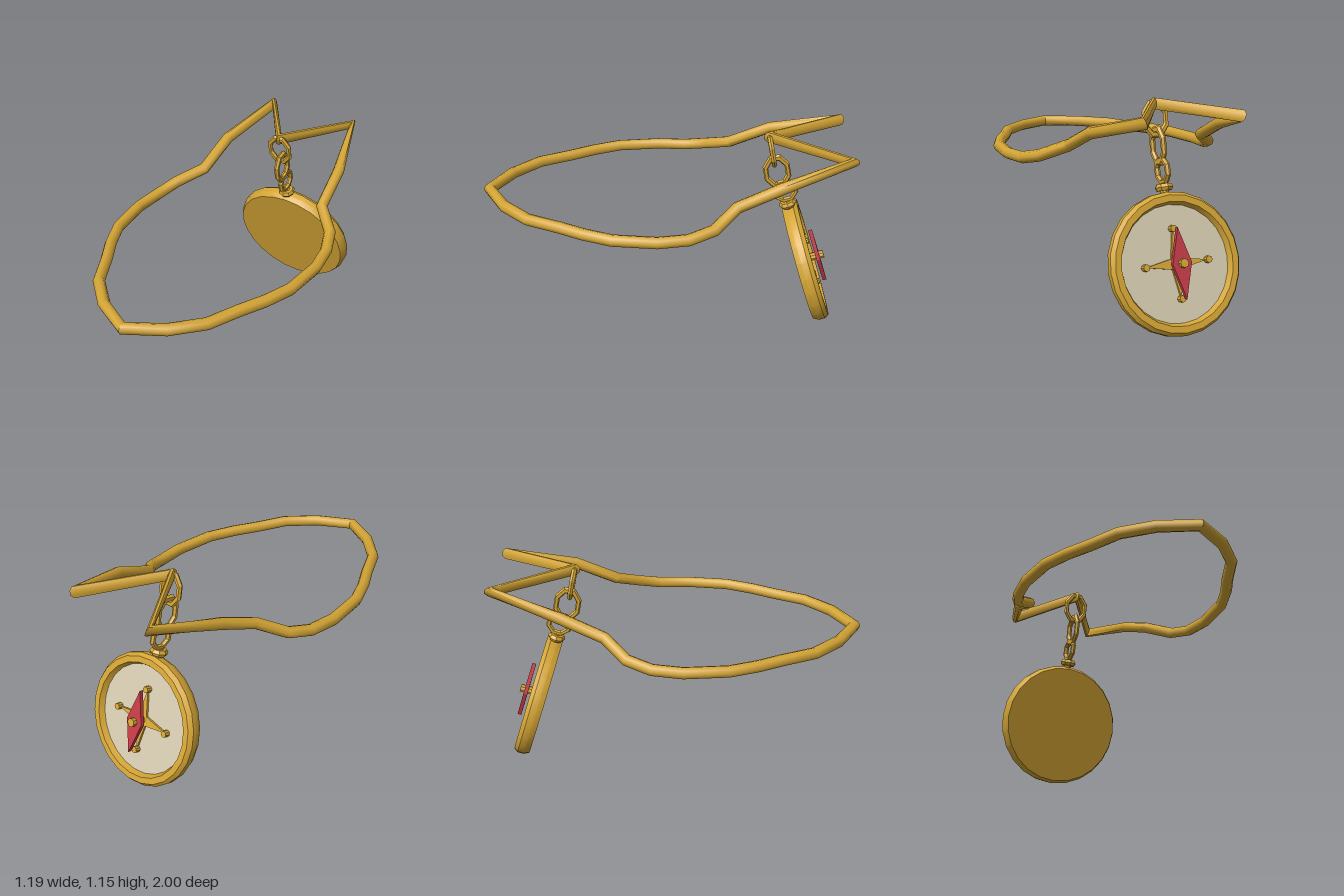
import * as THREE from 'three';
import { toCreasedNormals } from 'three/addons/utils/BufferGeometryUtils.js';

const gold = new THREE.MeshStandardMaterial({ color: 0xd4a535 });
gold.name = 'gold';
const ivory = new THREE.MeshStandardMaterial({ color: 0xd6cbb0 });
ivory.name = 'ivory';
const red = new THREE.MeshStandardMaterial({ color: 0xc23b45 });
red.name = 'red';

// Closed polyline whose tangents bisect each corner
class Loop extends THREE.Curve {
  constructor(points) {
    super();
    this.points = points;
  }
  at(i) {
    const n = this.points.length;
    return this.points[((i % n) + n) % n];
  }
  getPointAt(t, target = new THREE.Vector3()) {
    return target.copy(this.at(Math.round(t * this.points.length)));
  }
  getTangentAt(t, target = new THREE.Vector3()) {
    const i = Math.round(t * this.points.length), p = this.at(i);
    const a = p.clone().sub(this.at(i - 1)).normalize();
    const b = this.at(i + 1).clone().sub(p).normalize();
    return target.copy(a.add(b).normalize());
  }
}

function add(parent, name, geometry, material, crease = 0.5) {
  const mesh = new THREE.Mesh(toCreasedNormals(geometry, crease), material);
  mesh.name = name;
  parent.add(mesh);
  return mesh;
}

// Eight-sided ring, stretched along y for chain links
function link(parent, name, radius, tube, stretch, y, z, tilt, turn) {
  const geometry = new THREE.TorusGeometry(radius, tube, 6, 8);
  geometry.rotateZ(Math.PI / 8).scale(1, stretch, 1);
  const mesh = add(parent, name, geometry, gold);
  mesh.position.set(0, y, z);
  mesh.rotation.set(tilt, turn, 0);
}

function plate(points, depth) {
  const shape = new THREE.Shape(points.map(([x, y]) => new THREE.Vector2(x, y)));
  return new THREE.ExtrudeGeometry(shape, { depth, bevelEnabled: false });
}

export function createModel() {
  const model = new THREE.Group();
  model.name = 'compassNecklace';

  // Neck cord: one half from front tip to rear apex, then mirrored
  const half = [
    [0, 0.8, 0.965], [0.19, 0.8, 0.86], [0.33, 0.8, 0.72], [0.41, 0.8, 0.55],
    [0.48, 0.8, 0.42], [0.54, 0.8, 0.27], [0.565, 0.8, 0.04], [0.545, 0.805, -0.12],
    [0.5, 0.835, -0.25], [0.385, 0.9, -0.37], [0.365, 1.0, -0.6], [0.26, 1.095, -0.97],
    [0, 1.115, -0.56],
  ];
  const mirrored = half.slice(1, -1).reverse().map(([x, y, z]) => [-x, y, z]);
  const path = [...half, ...mirrored].map((p) => new THREE.Vector3(...p));
  add(model, 'neckCord', new THREE.TubeGeometry(new Loop(path), path.length, 0.032, 8, true), gold, 0.9);

  // Hanging links
  link(model, 'upperLink', 0.064, 0.015, 1.32, 1.04, -0.575, 0.2, 0);
  link(model, 'lowerLink', 0.064, 0.015, 1.38, 0.908, -0.61, 0.2, Math.PI / 2);
  link(model, 'pendantRing', 0.06, 0.015, 1, 0.79, -0.66, 0.3, Math.PI / 2);

  // Pendant: local z points out of the dial, local y towards the ring
  const pendant = new THREE.Group();
  pendant.name = 'compassPendant';
  pendant.position.set(0, 0.33, -0.76);
  pendant.rotation.set(0.314, Math.PI, 0);
  model.add(pendant);

  const profile = [
    [0, 0], [0.345, 0], [0.36, 0.03], [0.36, 0.065], [0.343, 0.088], [0.31, 0.088], [0.295, 0.055],
  ].map(([r, h]) => new THREE.Vector2(r, h));
  add(pendant, 'case', new THREE.LatheGeometry(profile, 24).rotateX(Math.PI / 2), gold);
  const dial = add(pendant, 'dial', new THREE.CircleGeometry(0.298, 24), ivory);
  dial.position.z = 0.057;

  // Collar between case and ring
  const collar = add(pendant, 'collar', new THREE.TorusGeometry(0.029, 0.02, 6, 8).rotateX(Math.PI / 2), gold);
  collar.position.set(0, 0.385, 0.04);
  const stem = add(pendant, 'stem', new THREE.CylinderGeometry(0.022, 0.022, 0.06, 8), gold);
  stem.position.set(0, 0.375, 0.04);

  // Four-pointed star with a knob on each point
  const star = [];
  for (let i = 0; i < 8; i++) {
    const r = i % 2 ? 0.038 : 0.175, a = (i * Math.PI) / 4;
    star.push([r * Math.cos(a), r * Math.sin(a)]);
  }
  add(pendant, 'star', plate(star, 0.012), gold).position.z = 0.058;
  for (let i = 0; i < 4; i++) {
    const a = (i * Math.PI) / 2;
    const knob = add(pendant, 'knob', new THREE.CylinderGeometry(0.018, 0.018, 0.03, 8).rotateX(Math.PI / 2), gold);
    knob.position.set(0.175 * Math.cos(a), 0.175 * Math.sin(a), 0.072);
  }

  // Needle on its hub
  const needle = plate([[0.053, 0], [0, 0.178], [-0.053, 0], [0, -0.178]], 0.022);
  add(pendant, 'needle', needle, red).position.z = 0.106;
  const hub = add(pendant, 'hub', new THREE.CylinderGeometry(0.023, 0.023, 0.095, 8).rotateX(Math.PI / 2), gold);
  hub.position.z = 0.105;

  return model;
}
